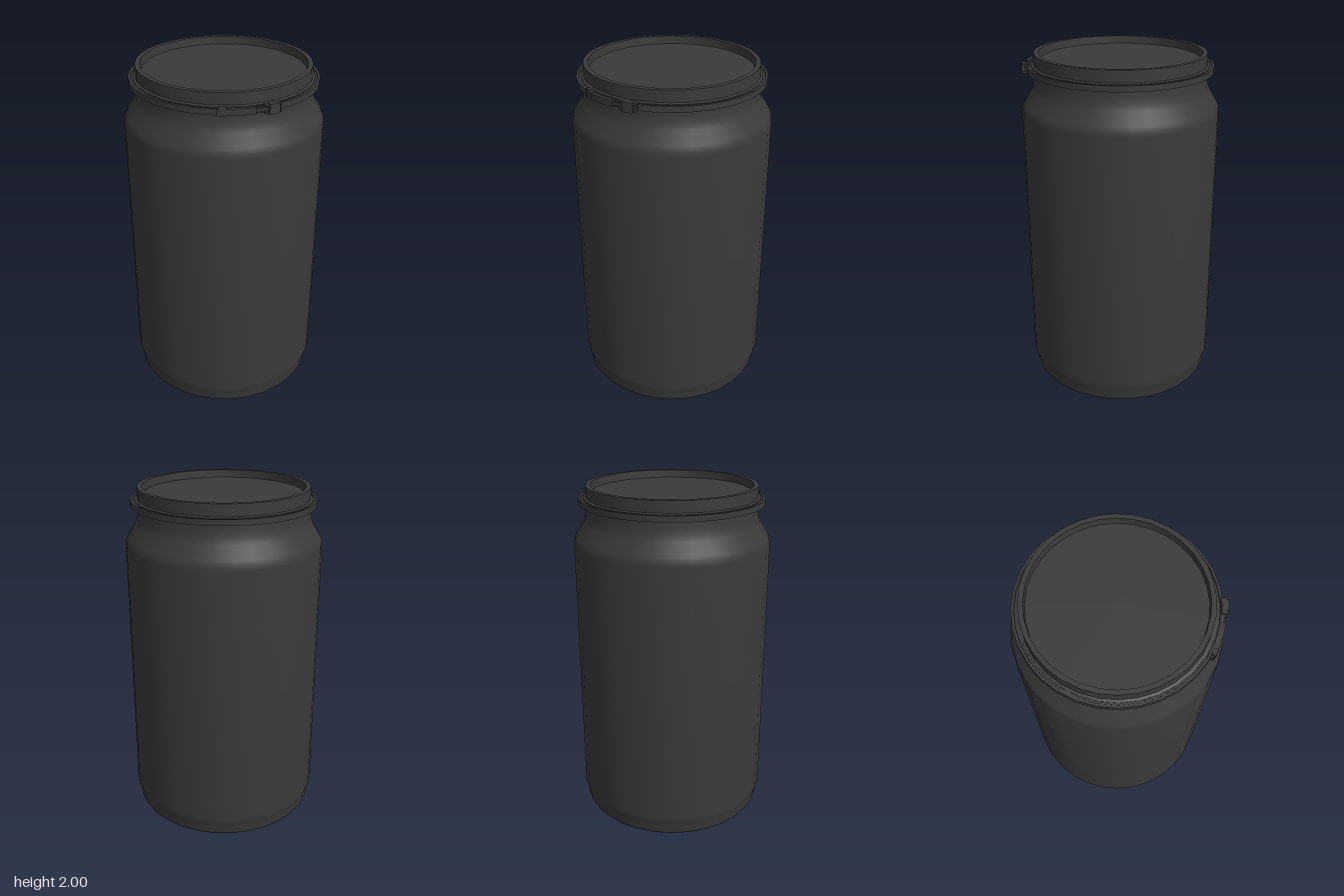
import * as THREE from 'three';
import { toCreasedNormals } from 'three/addons/utils/BufferGeometryUtils.js';

const SIDES = 32;

export function createModel() {
  const drum = new THREE.Group();
  drum.name = 'drum';
  const plastic = new THREE.MeshStandardMaterial({ color: 0x3a3a3a });

  function add(name, geometry, parent = drum) {
    const mesh = new THREE.Mesh(toCreasedNormals(geometry, 0.45), plastic);
    mesh.name = name;
    parent.add(mesh);
    return mesh;
  }

  // Profile of [radius, height] pairs, listed upward along the outside
  const turned = (profile) =>
    new THREE.LatheGeometry(profile.map(([r, y]) => new THREE.Vector2(r, y)), SIDES);

  // Curved bar around the neck; angles in degrees from the front towards -x
  function arcBar(r0, r1, y0, y1, a0, a1) {
    const from = THREE.MathUtils.degToRad(-90 - a1);
    const to = THREE.MathUtils.degToRad(-90 - a0);
    const shape = new THREE.Shape();
    shape.absarc(0, 0, r1, from, to, false);
    shape.absarc(0, 0, r0, to, from, true);
    const geometry = new THREE.ExtrudeGeometry(shape, { depth: y1 - y0, bevelEnabled: false, curveSegments: 6 });
    return geometry.rotateX(-Math.PI / 2).translate(0, y0, 0);
  }

  // Body with rounded foot, straight wall, sloping shoulder and neck
  add('body', turned([
    [0, 0], [0.525, 0], [0.541, 0.006], [0.55, 0.022], [0.553, 0.055],
    [0.558, 0.08], [0.566, 0.105], [0.567, 0.13], [0.567, 1.67], [0.564, 1.695],
    [0.553, 1.72], [0.51, 1.79], [0.498, 1.82], [0.492, 1.86], [0.49, 1.91],
  ]));

  // Lid with raised rim and sunken panel
  add('lid', turned([
    [0.485, 1.9], [0.505, 1.9], [0.505, 1.93], [0.491, 1.935], [0.49, 2],
    [0.463, 2], [0.46, 1.955], [0, 1.955],
  ]));

  // Clamping ring with a wider outer band
  add('clampRing', turned([
    [0.488, 1.9], [0.515, 1.905], [0.517, 1.897], [0.531, 1.897],
    [0.531, 1.93], [0.517, 1.93], [0.515, 1.925], [0.488, 1.928],
  ]));

  // Lever latch following the ring
  const latch = new THREE.Group();
  latch.name = 'latch';
  drum.add(latch);
  add('latchLever', arcBar(0.525, 0.546, 1.9, 1.935, 22, 43), latch);
  add('latchStrap', arcBar(0.525, 0.54, 1.907, 1.925, 7, 24), latch);
  add('latchLeverTip', arcBar(0.527, 0.55, 1.9, 1.953, 38, 42), latch);
  add('latchBlock', arcBar(0.525, 0.558, 1.89, 1.945, 9, 15), latch);
  for (const y of [1.893, 1.932]) {
    add('latchHinge', arcBar(0.52, 0.552, y, y + 0.01, 7.5, 17), latch);
  }

  return drum;
}
